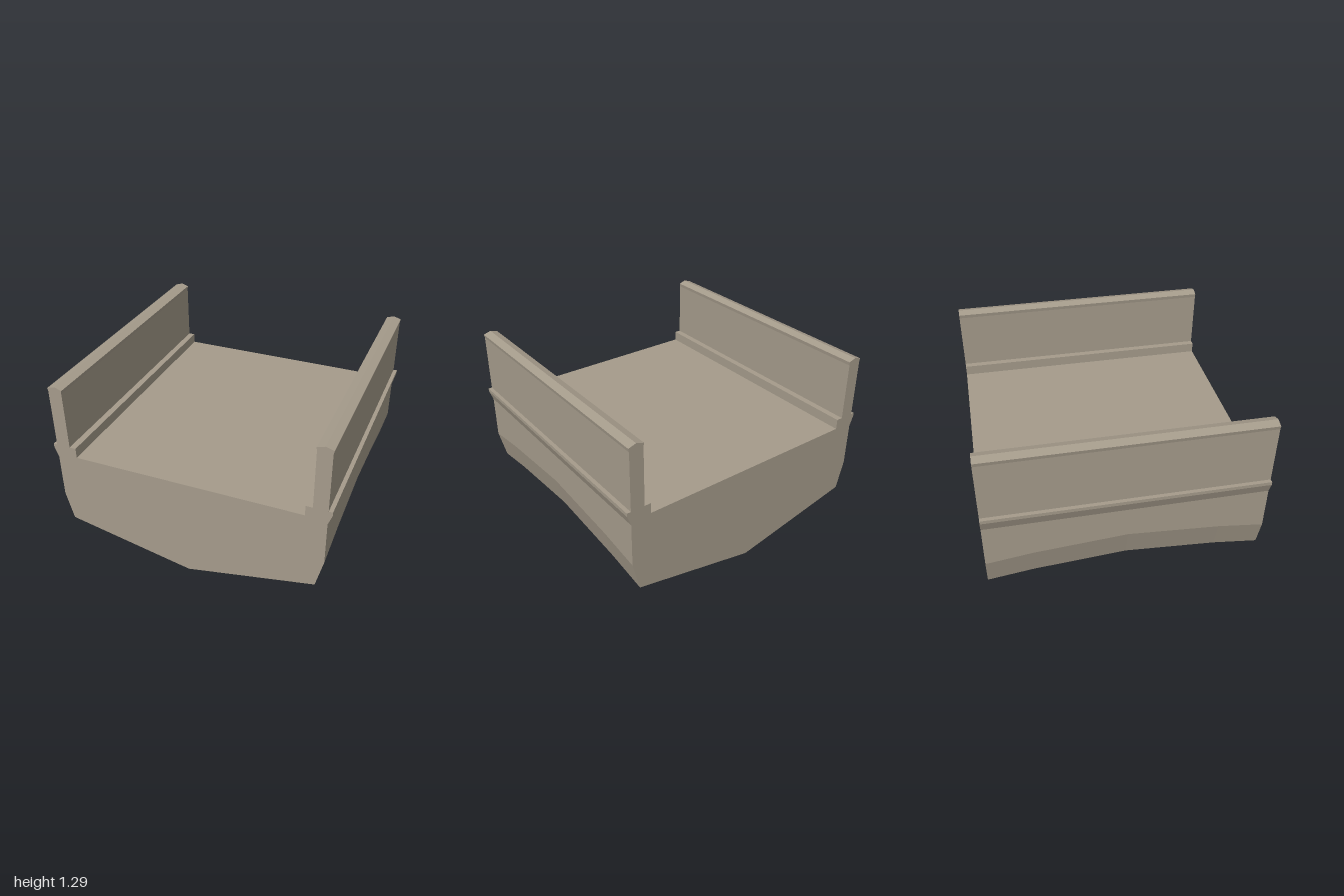
import * as THREE from 'three';

const HALF_LENGTH = 0.97;

// Underside rise of the shallow arch at each station along z
const ARCH = [[-HALF_LENGTH, 0], [-0.646, 0.043], [0, 0.092], [0.646, 0.043], [HALF_LENGTH, 0]];
const STRAIGHT = [[-HALF_LENGTH, 0], [HALF_LENGTH, 0]];

// Loft a counter-clockwise outline [x, y, liftFactor] through the stations and cap both ends
function loft(outline, stations) {
  const pos = [];
  const at = (i, [z, lift]) => {
    const [x, y, f = 0] = outline[i % outline.length];
    return [x, y + f * lift, z];
  };
  const tri = (a, b, c) => pos.push(...a, ...b, ...c);
  for (let s = 0; s < stations.length - 1; s++) {
    for (let i = 0; i < outline.length; i++) {
      const a = at(i, stations[s]), b = at(i + 1, stations[s]);
      const c = at(i + 1, stations[s + 1]), d = at(i, stations[s + 1]);
      tri(a, b, c);
      tri(a, c, d);
    }
  }
  const back = stations[0], front = stations[stations.length - 1];
  const flat = outline.map(([x, y]) => new THREE.Vector2(x, y));
  for (const [a, b, c] of THREE.ShapeUtils.triangulateShape(flat, [])) {
    tri(at(a, front), at(b, front), at(c, front));
    tri(at(c, back), at(b, back), at(a, back));
  }
  const geo = new THREE.BufferGeometry();
  geo.setAttribute('position', new THREE.Float32BufferAttribute(pos, 3));
  geo.computeVertexNormals();
  return geo;
}

// Mirror an outline across x = 0, keeping it counter-clockwise
const mirror = (pts) => pts.map(([x, y, f]) => [-x, y, f]).reverse();

export function createModel() {
  const group = new THREE.Group();
  const stone = new THREE.MeshStandardMaterial({ color: 0xa59b8b });
  stone.name = 'stone';

  const add = (name, outline, stations) => {
    const mesh = new THREE.Mesh(loft(outline, stations), stone);
    mesh.name = name;
    group.add(mesh);
  };

  // Deck with V-shaped arched underside, side ledges and raised kerbs
  const halfDeck = [
    [0.92, 0.193, 1], [0.972, 0.408, 1], [0.972, 0.728], [1, 0.805],
    [1, 0.83], [0.825, 0.83], [0.825, 0.755],
  ];
  add('deck', [[0, 0.003, 1], ...halfDeck, ...mirror(halfDeck)], ARCH);

  // Parapet walls with a slightly flared, peaked coping
  const parapet = [
    [0.872, 0.83], [0.972, 0.83], [0.972, 1.254], [0.977, 1.28],
    [0.922, 1.297], [0.868, 1.28], [0.872, 1.254],
  ];
  add('leftParapet', parapet, STRAIGHT);
  add('rightParapet', mirror(parapet), STRAIGHT);

  return group;
}
